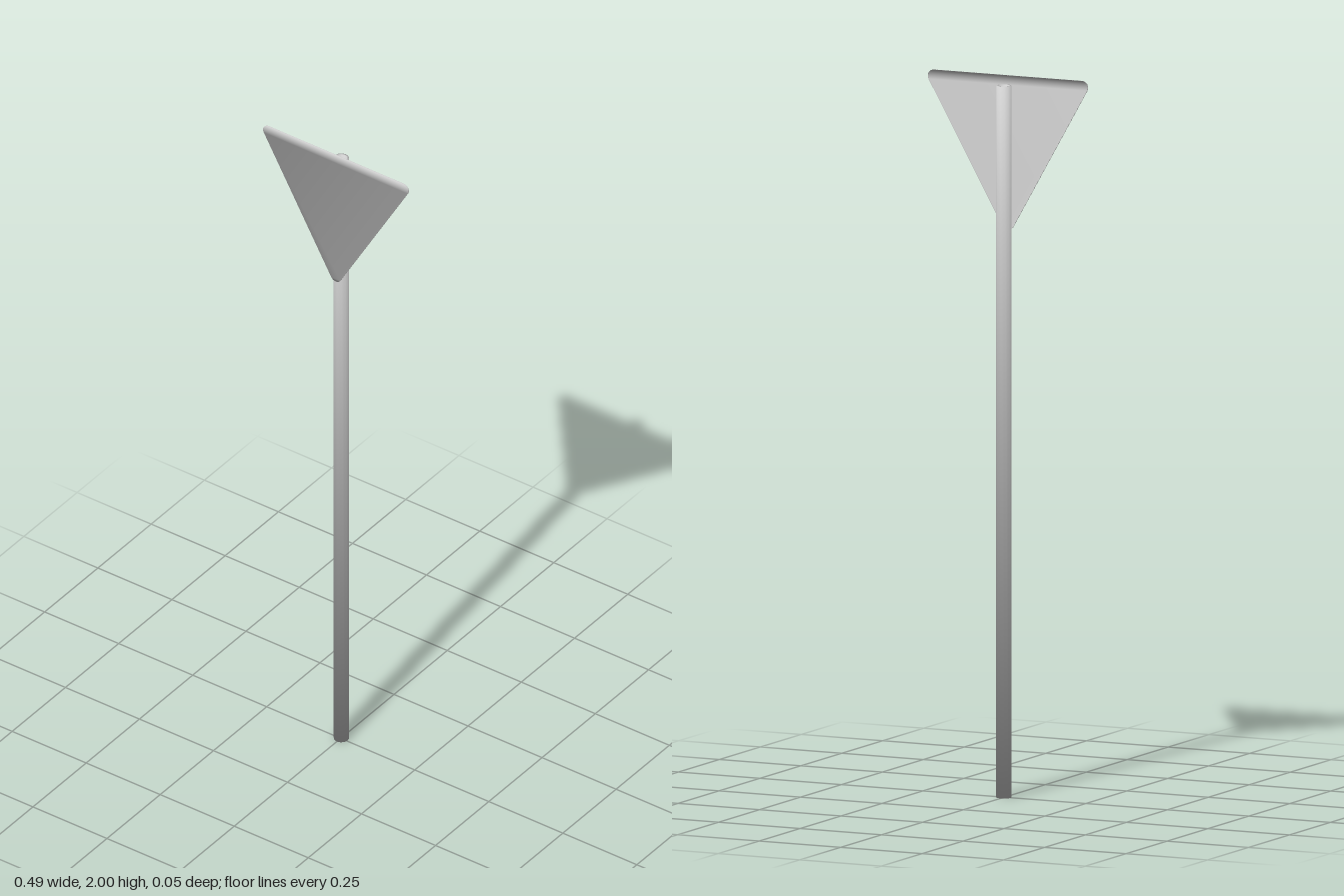
import * as THREE from 'three';

const SLANT = Math.SQRT1_2;

// Round post, recessed at both ends, shaded softly across its rims
function postGeometry() {
  const sides = 12, outer = 0.0213, inner = 0.016, top = 1.975, recess = 0.01;
  // x, y, and the direction of the normal in the profile plane
  const rows = [
    [0, recess, 0, -1],
    [inner, recess, -SLANT, -SLANT],
    [inner, 0, -SLANT, -SLANT],
    [outer, 0, SLANT, -SLANT],
    [outer, top, SLANT, SLANT],
    [inner, top, -SLANT, SLANT],
    [inner, top - recess, -SLANT, SLANT],
    [0, top - recess, 0, 1],
  ];
  const geometry = new THREE.LatheGeometry(rows.map(([x, y]) => new THREE.Vector2(x, y)), sides);
  const normal = geometry.attributes.normal;
  for (let i = 0; i <= sides; i++) {
    const a = (i / sides) * Math.PI * 2;
    rows.forEach(([, , nx, ny], j) => {
      normal.setXYZ(i * rows.length + j, nx * Math.sin(a), ny, nx * Math.cos(a));
    });
  }
  return geometry;
}

// Rounded triangle pointing down: a face with a shallow rim, open at the back
function plateGeometry() {
  const r = 0.018, side = 0.455, depth = 0.0025;
  const yTop = 2 - r, yLow = yTop - side * Math.sqrt(3) / 2;
  const half = [];
  const corner = (cx, cy, from, to, steps) => {
    for (let i = 0; i <= steps; i++) {
      const a = THREE.MathUtils.degToRad(from + (to - from) * i / steps);
      const nx = Math.cos(a), ny = Math.sin(a);
      half.push({ x: cx + r * nx, y: cy + r * ny, nx, ny });
    }
  };
  corner(0, yLow, -90, -30, 4);
  corner(side / 2, yTop, -30, 90, 8);

  // Mirror the right half into a closed loop
  const mirrored = half.map((p) => ({ ...p, x: -p.x, nx: -p.nx })).reverse();
  const loop = [...half, ...mirrored];
  const n = loop.length;
  const positions = [], normals = [], indices = [];
  for (const p of loop) {
    positions.push(p.x, p.y, depth);
    normals.push(p.nx * SLANT, p.ny * SLANT, SLANT);
  }
  for (const p of loop) {
    positions.push(p.x, p.y, 0);
    normals.push(p.nx, p.ny, 0);
  }
  const quad = (a, b, c, d) => indices.push(a, b, c, a, c, d);
  // Face, in strips between mirrored points
  for (let k = 0; k < half.length - 1; k++) quad(k, k + 1, n - 2 - k, n - 1 - k);
  // Rim
  for (let i = 0; i < n; i++) {
    const j = (i + 1) % n;
    quad(n + i, n + j, j, i);
  }
  const geometry = new THREE.BufferGeometry();
  geometry.setAttribute('position', new THREE.Float32BufferAttribute(positions, 3));
  geometry.setAttribute('normal', new THREE.Float32BufferAttribute(normals, 3));
  geometry.setIndex(indices);
  return geometry;
}

export function createModel() {
  const group = new THREE.Group();

  const post = new THREE.Mesh(postGeometry(), new THREE.MeshStandardMaterial({ color: 0xcccccc }));
  post.name = 'post';
  post.position.z = -0.003;
  group.add(post);

  const plate = new THREE.Mesh(
    plateGeometry(),
    new THREE.MeshStandardMaterial({ color: 0xcccccc, side: THREE.DoubleSide })
  );
  plate.name = 'signPlate';
  plate.position.z = 0.021;
  group.add(plate);

  return group;
}
